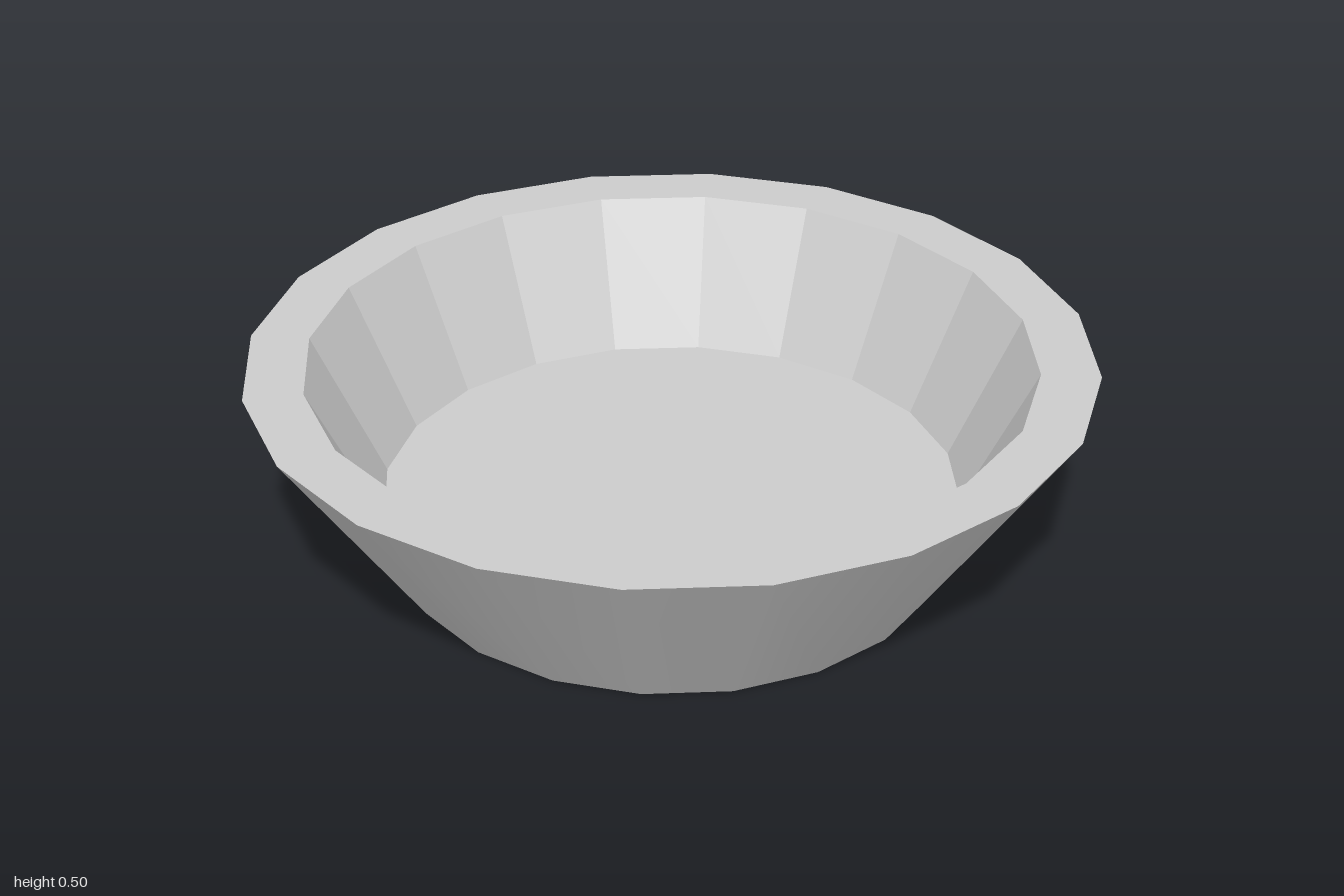
import * as THREE from 'three';

const SIDES = 20;
const HEIGHT = 0.5;
const FLOOR = 0.15;

// Revolves a profile of [radius, height] points; rising profiles face outward
function revolve(name, profile, flatShading) {
  const points = profile.map(([r, y]) => new THREE.Vector2(r, y));
  const geometry = new THREE.LatheGeometry(points, SIDES);
  const material = new THREE.MeshStandardMaterial({ color: 0xcccccc, flatShading });
  const mesh = new THREE.Mesh(geometry, material);
  mesh.name = name;
  return mesh;
}

// Flat horizontal disc facing up or down
function disc(name, radius, y, facing) {
  const geometry = new THREE.CircleGeometry(radius, SIDES);
  geometry.rotateX(-facing * Math.PI / 2);
  geometry.translate(0, y, 0);
  const mesh = new THREE.Mesh(geometry, new THREE.MeshStandardMaterial({ color: 0xcccccc }));
  mesh.name = name;
  return mesh;
}

export function createModel() {
  const bowl = new THREE.Group();
  bowl.name = 'bowl';
  bowl.add(
    // smooth sloping outside
    revolve('outerWall', [[0.66, 0], [1, HEIGHT]], false),
    // wide flat lip
    revolve('rim', [[1, HEIGHT], [0.86, HEIGHT]], true),
    // faceted inside
    revolve('innerWall', [[0.86, HEIGHT], [0.69, FLOOR]], true),
    disc('innerFloor', 0.69, FLOOR, 1),
    disc('base', 0.66, 0, -1),
  );
  return bowl;
}
